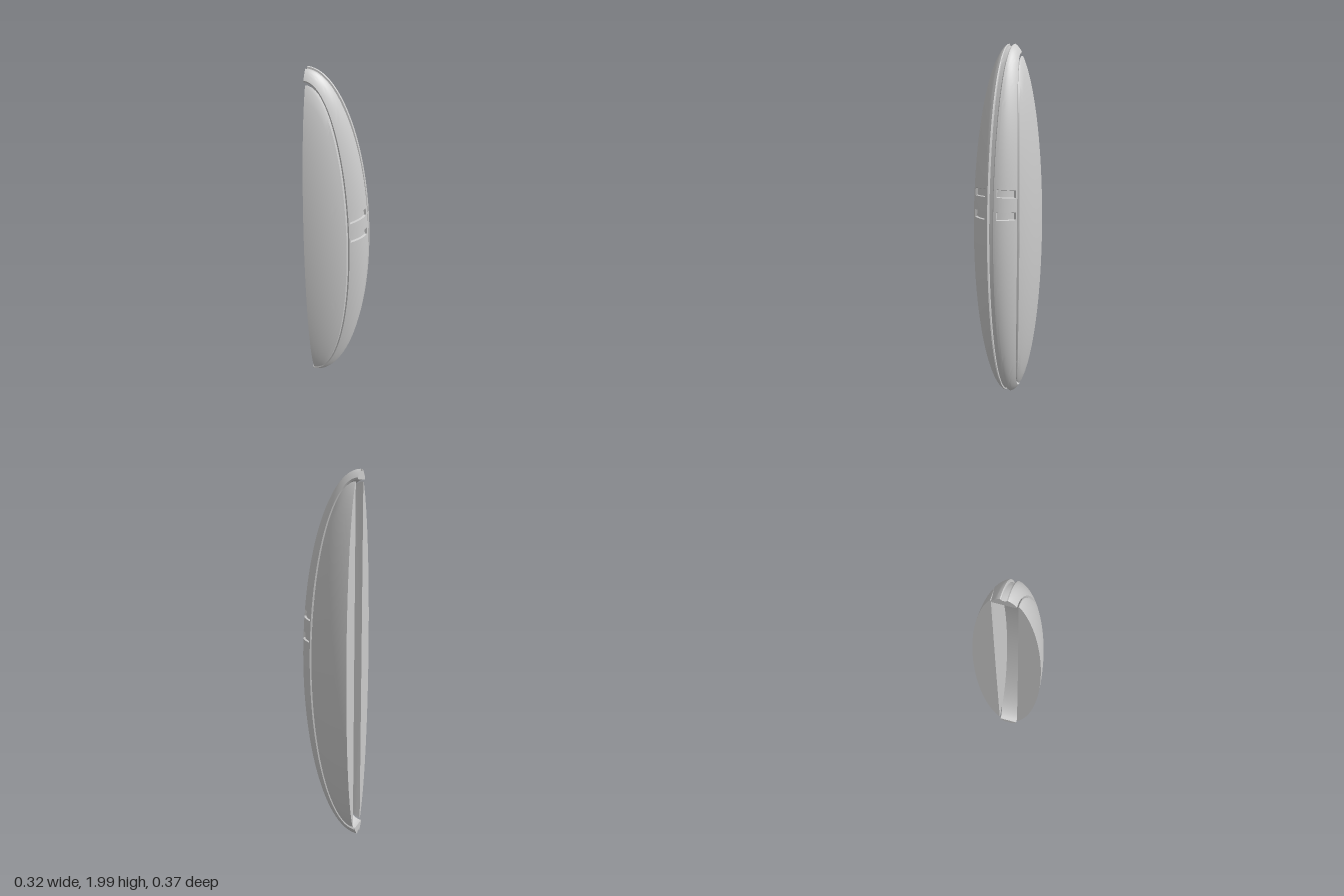
import * as THREE from 'three';
import { toCreasedNormals } from 'three/addons/utils/BufferGeometryUtils.js';

// Overall half ellipsoid: centre at (CX, 1, 0), semi-axes A (x), 1 (y), C (z)
const CX = -0.16, A = 0.317, C = 0.183;
// Side panel outline as fractions of the ellipsoid axes
const PX = 0.725, PY = 0.945;
const BACK = -0.15, WALL = 0.06;

const material = new THREE.MeshStandardMaterial({ color: 0xcccccc });
const surfaceZ = (x, y) => C * Math.sqrt(Math.max(0, 1 - ((x - CX) / A) ** 2 - (y - 1) ** 2));

// Joins closed profiles into a capped solid; hub is the profile index the caps fan from
function loft(name, rows, hub, flip) {
  const n = rows[0].length, pos = [];
  const tri = (a, b, c) => {
    for (const p of flip ? [a, c, b] : [a, b, c]) pos.push(p.x, p.y, p.z);
  };
  for (let i = 0; i < rows.length - 1; i++) {
    for (let j = 0; j < n; j++) {
      const k = (j + 1) % n;
      tri(rows[i][j], rows[i + 1][j], rows[i][k]);
      tri(rows[i][k], rows[i + 1][j], rows[i + 1][k]);
    }
  }
  const first = rows[0], last = rows[rows.length - 1];
  for (let j = 0; j < n; j++) {
    const k = (j + 1) % n;
    if (j === hub || k === hub) continue;
    tri(first[hub], first[j], first[k]);
    tri(last[hub], last[k], last[j]);
  }
  const geometry = new THREE.BufferGeometry();
  geometry.setAttribute('position', new THREE.Float32BufferAttribute(pos, 3));
  const mesh = new THREE.Mesh(toCreasedNormals(geometry, 0.5), material);
  mesh.name = name;
  return mesh;
}

const steps = (n) => Array.from({ length: n + 1 }, (_, i) => -Math.PI / 2 + (Math.PI * i) / n);

// Curved band around the edge, with a central groove and two pairs of shallow slots
function makeBand() {
  const slots = [[1.118, 1.16], [1.235, 1.277]];
  const e = 0.003;
  const angle = (y) => Math.asin((y - 1) / 0.98);
  const angles = steps(80).map((t) => ({ t, cut: slots.some(([a, b]) => t > angle(a + e) && t < angle(b - e)) }));
  for (const [a, b] of slots) {
    angles.push({ t: angle(a), cut: false }, { t: angle(a + e), cut: true });
    angles.push({ t: angle(b - e), cut: true }, { t: angle(b), cut: false });
  }
  angles.sort((p, q) => p.t - q.t);
  const spread = [0, 0.06, 0.14, 0.17, 0.3, 0.42, 0.54, 0.66, 0.78, 0.88, 0.93, 0.96, 1];

  const rows = angles.map(({ t, cut }) => {
    const c = Math.max(0, Math.cos(t)), s = Math.sin(t);
    const at = (fx, fy, z) => new THREE.Vector3(CX + A * fx * c, 1 + fy * s, z);
    // Point on the ellipsoid at depth z, between the panel outline and the rim
    const onSurface = (z) => {
      const dx = 1 - PX, dy = 1 - PY;
      const a = (dx * c) ** 2 + (dy * s) ** 2;
      const b = 2 * (dx * PX * c * c + dy * PY * s * s);
      const k = (PX * c) ** 2 + (PY * s) ** 2 - 1 + (z / C) ** 2;
      const w = (-b + Math.sqrt(Math.max(0, b * b - 4 * a * k))) / (2 * a);
      return at(PX + dx * w, PY + dy * w, z);
    };
    const edge = C * Math.sqrt(1 - (PX * c) ** 2 - (PY * s) ** 2);
    const half = [at(0.945, 0.985, 0), at(0.945, 0.985, 0.011), at(0.98, 0.994, 0.012)];
    for (const f of spread) {
      const p = onSurface(THREE.MathUtils.lerp(0.017, edge - 0.005, f));
      if (cut && f > 0.15 && f < 0.95) {
        const normal = new THREE.Vector3((p.x - CX) / A ** 2, p.y - 1, p.z / C ** 2).normalize();
        p.addScaledVector(normal, -0.011);
      }
      half.push(p);
    }
    half.push(at(PX, PY, edge - 0.009), at(PX, PY, 0));
    const mirrored = half.slice(1, -1).reverse().map((p) => new THREE.Vector3(p.x, p.y, -p.z));
    return [...half, ...mirrored];
  });
  return loft('edgeBand', rows, spread.length + 4, false);
}

// Domed side panel with a flat back, a flat inner wall and a bevelled outline
function makePanel(name, side) {
  const reach = CX + A * PX - BACK;
  const rings = Array.from({ length: 17 }, (_, i) => (0.975 * i) / 16);
  const rows = steps(72).map((t) => {
    const c = Math.max(0, Math.cos(t)), s = Math.sin(t);
    const at = (f, z) => {
      const x = BACK + reach * f * c, y = 1 + PY * f * s;
      return new THREE.Vector3(x, y, side * (z ?? surfaceZ(x, y)));
    };
    const profile = rings.map((f) => at(f));
    const rim = Math.abs(profile[profile.length - 1].z);
    const low = Math.min(WALL, rim - 0.012);
    profile.push(at(0.99, rim - 0.009), at(0.99, low), at(0.97, WALL), at(0, WALL));
    return profile;
  });
  return loft(name, rows, rings.length + 3, side > 0);
}

export function createModel() {
  const group = new THREE.Group();
  group.name = 'curvedShell';
  group.add(makeBand(), makePanel('frontPanel', 1), makePanel('backPanel', -1));
  return group;
}
